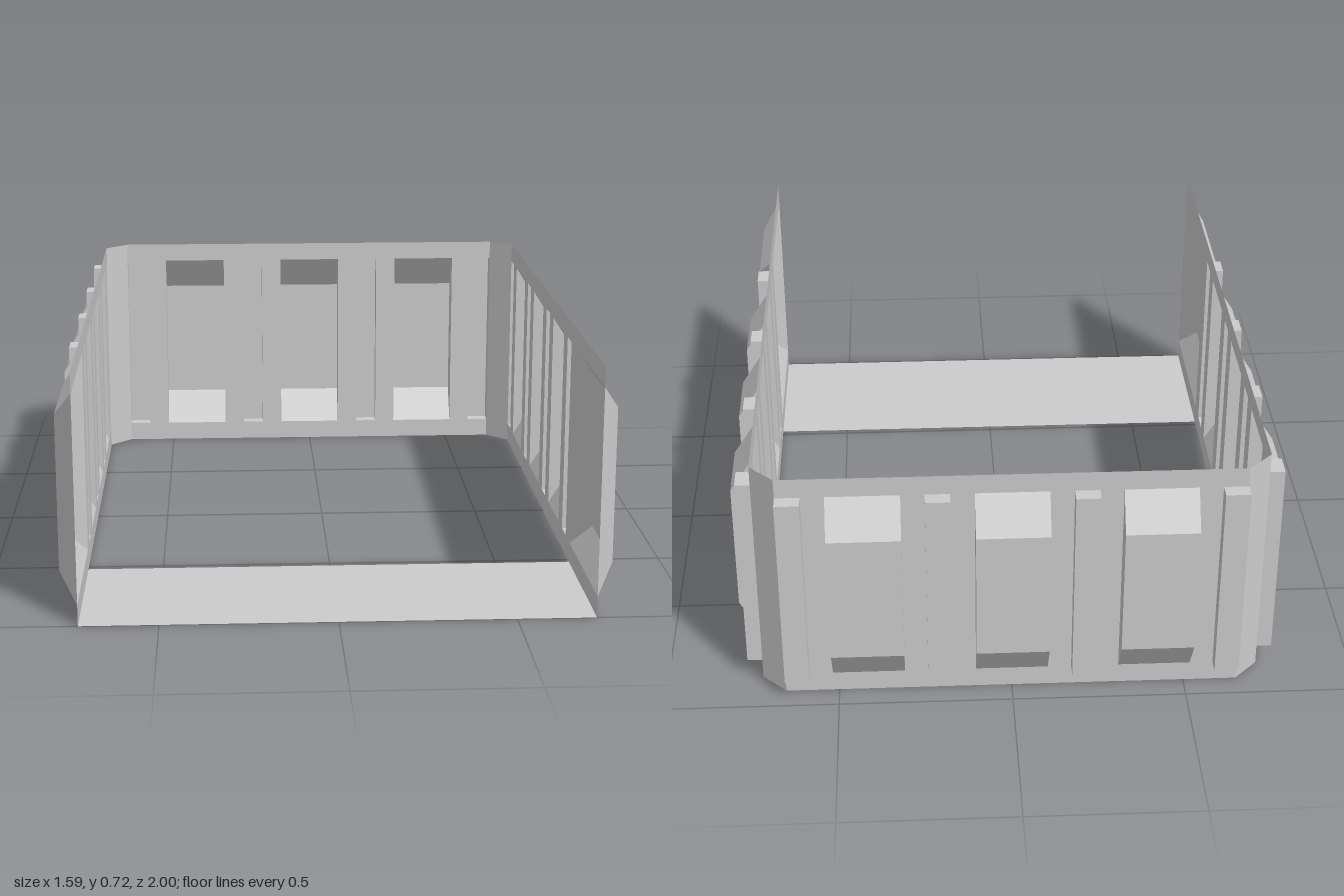
import * as THREE from 'three';

const HEIGHT = 0.724, LOW = 0.061, HIGH = 0.665;
const HALF_X = 0.724, BACK_Z = -0.931, CUT = 0.07;

const material = new THREE.MeshStandardMaterial({ color: 0xcccccc, flatShading: true, side: THREE.DoubleSide });

// Mesh made from four-cornered faces, corners counter-clockwise seen from outside
function quadMesh(name, quads) {
  const points = quads.flatMap(([a, b, c, d]) => [a, b, c, a, c, d]).flat();
  const geometry = new THREE.BufferGeometry();
  geometry.setAttribute('position', new THREE.Float32BufferAttribute(points, 3));
  geometry.computeVertexNormals();
  const mesh = new THREE.Mesh(geometry, material);
  mesh.name = name;
  return mesh;
}

// Upright rectangle facing local +z
const rect = (u0, u1, v0, v1, w = 0) => [[u0, v0, w], [u1, v0, w], [u1, v1, w], [u0, v1, w]];

// Pressed-out bay, open on the inside: outer face and four sides
function bayMesh({ name, u, width, depth, insetU = 0, insetV = 0 }) {
  const u0 = u - width / 2, u1 = u + width / 2;
  const base = rect(u0, u1, LOW, HIGH);
  const face = rect(u0 + insetU, u1 - insetU, LOW + insetV, HIGH - insetV, depth);
  const sides = base.map((p, i) => {
    const j = (i + 1) % 4;
    return [p, base[j], face[j], face[i]];
  });
  return quadMesh(name, [face, ...sides]);
}

// Thin wall with a band above and below and openings behind its bays
function wall(name, start, end, bays) {
  const group = new THREE.Group();
  group.name = name;
  const quads = [rect(start, end, 0, LOW), rect(start, end, HIGH, HEIGHT)];
  let from = start;
  for (const bay of [...bays].sort((a, b) => a.u - b.u)) {
    const to = bay.u - bay.width / 2;
    if (to - from > 0.002) quads.push(rect(from, to, LOW, HIGH));
    from = bay.u + bay.width / 2;
    group.add(bayMesh(bay));
  }
  if (end - from > 0.002) quads.push(rect(from, end, LOW, HIGH));
  group.add(quadMesh(name + 'Sheet', quads));
  return group;
}

const post = (u) => ({ name: 'post', u, width: 0.07, depth: 0.043 });
const panel = (u) => ({ name: 'slopedPanel', u, width: 0.208, depth: 0.069, insetV: 0.106 });
const endPanel = (u) => ({ name: 'endPanel', u, width: 0.48, depth: 0.053, insetU: 0.077, insetV: 0.077 });

export function createModel() {
  const model = new THREE.Group();
  model.name = 'openEnclosure';

  // Side walls and cut rear corners, mirrored
  const backCorner = BACK_Z + CUT;
  for (const side of [1, -1]) {
    const label = side > 0 ? 'left' : 'right';
    const along = (z) => -side * z;
    const bays = [
      ...[0.413, 0, -0.413, -0.826].map((z) => post(along(z))),
      ...[0.207, -0.207, -0.619].map((z) => panel(along(z))),
      endPanel(along(0.76)),
    ];
    const ends = [along(1), along(backCorner)].sort((a, b) => a - b);
    const sideWall = wall(label + 'Wall', ends[0], ends[1], bays);
    sideWall.rotation.y = side * Math.PI / 2;
    sideWall.position.x = side * HALF_X;
    model.add(sideWall);

    const half = CUT * Math.SQRT1_2;
    const corner = quadMesh(label + 'Corner', [rect(-half, half, 0, HEIGHT)]);
    corner.rotation.y = side * Math.PI * 0.75;
    corner.position.set(side * (HALF_X - CUT / 2), 0, BACK_Z + CUT / 2);
    model.add(corner);
  }

  // Back wall
  const backHalf = HALF_X - CUT;
  const back = wall('backWall', -backHalf, backHalf, [
    ...[-0.619, -0.207, 0.207, 0.619].map(post),
    ...[-0.413, 0, 0.413].map(panel),
  ]);
  back.rotation.y = Math.PI;
  back.position.z = BACK_Z;
  model.add(back);

  // Floor strip across the open front
  model.add(quadMesh('floorStrip', [[
    [-HALF_X, 0, 1], [HALF_X, 0, 1], [HALF_X, 0, 0.52], [-HALF_X, 0, 0.52],
  ]]));

  return model;
}
